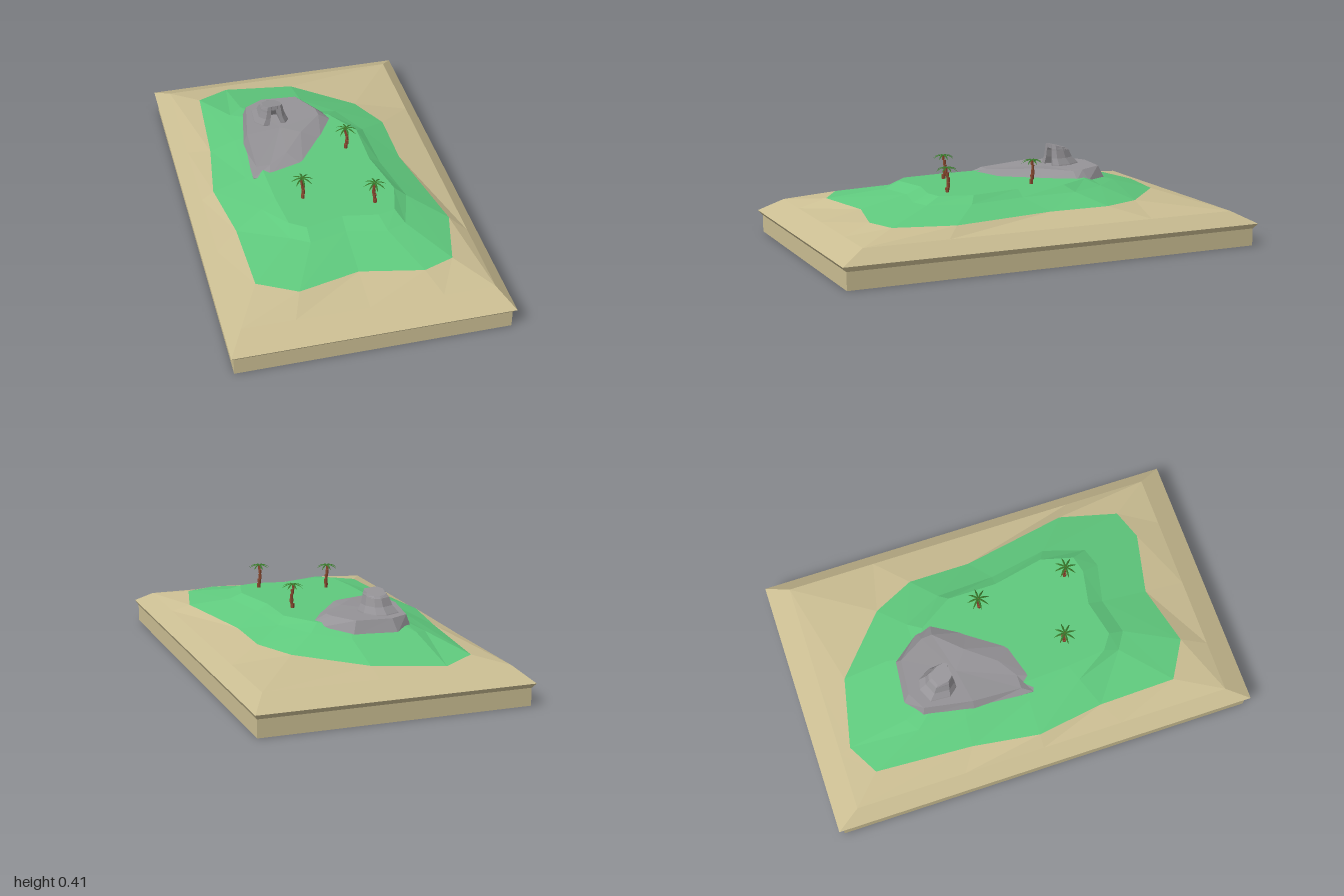
import * as THREE from 'three';

const SAND = 0xcabd92, GRASS = 0x5fc97d, ROCK = 0x959397, BARK = 0x8a4a30, LEAF = 0x37772a;

const material = (color, side = THREE.FrontSide) =>
  new THREE.MeshStandardMaterial({ color, flatShading: true, side });

// Joins rings of [x, y, z] points, listed clockwise from above, bottom ring first
function loft(name, rings, color, capTop = true, capBottom = false) {
  const pos = [];
  const tri = (...p) => p.forEach((v) => pos.push(...v));
  const n = rings[0].length;
  const centre = (ring) => [0, 1, 2].map((k) => ring.reduce((s, p) => s + p[k], 0) / n);
  const first = rings[0], last = rings[rings.length - 1];
  const top = centre(last), bottom = centre(first);
  for (let i = 0; i < n; i++) {
    const j = (i + 1) % n;
    for (let r = 0; r + 1 < rings.length; r++) {
      const a = rings[r], b = rings[r + 1];
      tri(a[j], a[i], b[i]);
      tri(a[j], b[i], b[j]);
    }
    if (capTop) tri(top, last[j], last[i]);
    if (capBottom) tri(bottom, first[i], first[j]);
  }
  const geo = new THREE.BufferGeometry();
  geo.setAttribute('position', new THREE.Float32BufferAttribute(pos, 3));
  geo.computeVertexNormals();
  const mesh = new THREE.Mesh(geo, material(color));
  mesh.name = name;
  return mesh;
}

// Hill contours: foot of the grass, crest of the slope, plateau edge
const foot = [
  [-0.28, 0.17, -0.84], [0.04, 0.185, -0.77], [0.31, 0.195, -0.53], [0.4, 0.2, -0.34],
  [0.4, 0.2, -0.05], [0.49, 0.2, 0.44], [0.42, 0.2, 0.71], [0.28, 0.2, 0.76],
  [0, 0.2, 0.7], [-0.28, 0.205, 0.77], [-0.45, 0.2, 0.67], [-0.46, 0.205, 0.31],
  [-0.505, 0.2, 0], [-0.46, 0.2, -0.31], [-0.43, 0.185, -0.76],
];
const crest = [
  [-0.26, 0.25, -0.56], [0.04, 0.245, -0.56], [0.18, 0.25, -0.42], [0.27, 0.25, -0.24],
  [0.28, 0.25, 0.03], [0.33, 0.25, 0.3], [0.27, 0.25, 0.49], [0.18, 0.25, 0.52],
  [0, 0.25, 0.48], [-0.17, 0.25, 0.52], [-0.25, 0.25, 0.47], [-0.33, 0.257, 0.25],
  [-0.35, 0.25, 0], [-0.34, 0.25, -0.3], [-0.32, 0.24, -0.52],
];
const plateau = [
  [-0.2, -0.45], [0, -0.42], [0.13, -0.36], [0.23, -0.2], [0.23, 0.03],
  [0.28, 0.27], [0.24, 0.42], [0.16, 0.44], [0, 0.41], [-0.17, 0.45],
  [-0.24, 0.4], [-0.26, 0.22], [-0.27, 0], [-0.26, -0.28], [-0.24, -0.42],
].map(([x, z]) => [x, 0.28, z]);

// Spreads the grass foot points onto a rectangle, pinning four to its corners
const cornerPoints = [2, 6, 10, 14];
function rectangle(w, d, y) {
  return foot.map(([x, , z], i) => {
    if (cornerPoints.includes(i)) return [Math.sign(x) * w, y, Math.sign(z) * d];
    const k = 1 / Math.max(Math.abs(x) / 0.56, Math.abs(z) / 0.89);
    return [(x * k * w) / 0.56, y, (z * k * d) / 0.89];
  });
}

// Low boulder: outer edge [x, y, z] and flat upper edge
const rockFoot = [
  [-0.18, 0.25, -0.545], [0.02, 0.25, -0.525], [0.12, 0.265, -0.39], [0.135, 0.275, -0.32],
  [0.05, 0.275, -0.18], [-0.08, 0.275, 0], [-0.25, 0.275, 0.05], [-0.32, 0.265, 0.03],
  [-0.315, 0.25, -0.25], [-0.27, 0.25, -0.48],
];
const rockTop = [
  [-0.165, 0.31, -0.515], [0, 0.31, -0.5], [0.07, 0.31, -0.38], [0.075, 0.308, -0.33],
  [-0.04, 0.31, -0.21], [-0.14, 0.3, -0.08], [-0.23, 0.29, -0.02], [-0.295, 0.29, -0.02],
  [-0.29, 0.31, -0.25], [-0.25, 0.31, -0.47],
];

// Rock spire with a cave-like notch at its front
const spirePlan = [
  [-0.16, -0.46], [-0.115, -0.45], [-0.08, -0.39], [-0.075, -0.33], [-0.095, -0.305],
  [-0.115, -0.31], [-0.12, -0.38], [-0.165, -0.38], [-0.17, -0.3], [-0.2, -0.3],
  [-0.235, -0.34], [-0.23, -0.43],
];
function spireRing(y, scale, notch, slope = 0) {
  return spirePlan.map(([x, z], i) => {
    const inner = i === 6 || i === 7;
    const pz = inner && !notch ? -0.305 : z;
    const qz = -0.32 + (pz + 0.32) * scale;
    return [-0.142 + (x + 0.142) * scale, y + slope * (qz + 0.32), qz];
  });
}

// Palm: bent ringed trunk and eight drooping leaves
function palm(x, z, turn) {
  const g = new THREE.Group();
  g.name = 'palmTree';
  const barkMaterial = material(BARK);
  const sections = 5, h = 0.112 / sections;
  for (let i = 0; i < sections; i++) {
    const part = new THREE.Mesh(new THREE.CylinderGeometry(0.0095 - i * 0.0006, 0.0085 - i * 0.0007, h, 6), barkMaterial);
    part.position.set(0.007 * Math.sin(i * 0.9), h * (i + 0.5), 0.003 * Math.cos(i));
    part.rotation.y = i * 0.4;
    part.name = 'trunkSection';
    g.add(part);
  }
  const leafMaterial = material(LEAF, THREE.DoubleSide);
  for (let i = 0; i < 8; i++) {
    const geo = new THREE.PlaneGeometry(0.05, 0.014, 4, 2).rotateX(-Math.PI / 2).translate(0.027, 0, 0);
    const p = geo.attributes.position;
    for (let k = 0; k < p.count; k++) {
      const t = (p.getX(k) - 0.002) / 0.05;
      const side = p.getZ(k) * (0.35 + 1.7 * t * (1 - t) - 0.3 * t);
      p.setY(k, 0.014 * t - 0.03 * t * t - Math.abs(side) * 0.6);
      p.setZ(k, side);
    }
    geo.computeVertexNormals();
    const leaf = new THREE.Mesh(geo, leafMaterial);
    leaf.position.y = 0.114;
    leaf.rotation.y = (i * Math.PI) / 4;
    leaf.name = 'palmLeaf';
    g.add(leaf);
  }
  g.position.set(x, 0.278, z);
  g.rotation.y = turn;
  return g;
}

export function createModel() {
  const model = new THREE.Group();
  model.name = 'island';

  // Sand plinth with a flared lip, rising to the grass
  model.add(loft('sandBase', [
    rectangle(0.612, 0.98, 0), rectangle(0.612, 0.98, 0.08), rectangle(0.625, 1, 0.103),
    rectangle(0.56, 0.89, 0.16), foot,
  ], SAND, false, true));

  model.add(loft('grassHill', [foot, crest, plateau], GRASS));

  const sunken = rockFoot.map(([x, y, z]) => [x, y - 0.03, z]);
  model.add(loft('boulder', [sunken, rockFoot, rockTop], ROCK));
  model.add(loft('rockSpire', [
    spireRing(0.295, 1.08, true), spireRing(0.312, 1, true), spireRing(0.34, 0.78, true),
    spireRing(0.375, 0.66, true), spireRing(0.385, 0.64, false, 0.1), spireRing(0.403, 0.56, false, 0.25),
  ], ROCK));

  [[0.145, -0.08, 0], [-0.14, 0.24, Math.PI / 4], [0.165, 0.35, Math.PI / 2]]
    .forEach(([x, z, turn]) => model.add(palm(x, z, turn)));
  return model;
}
